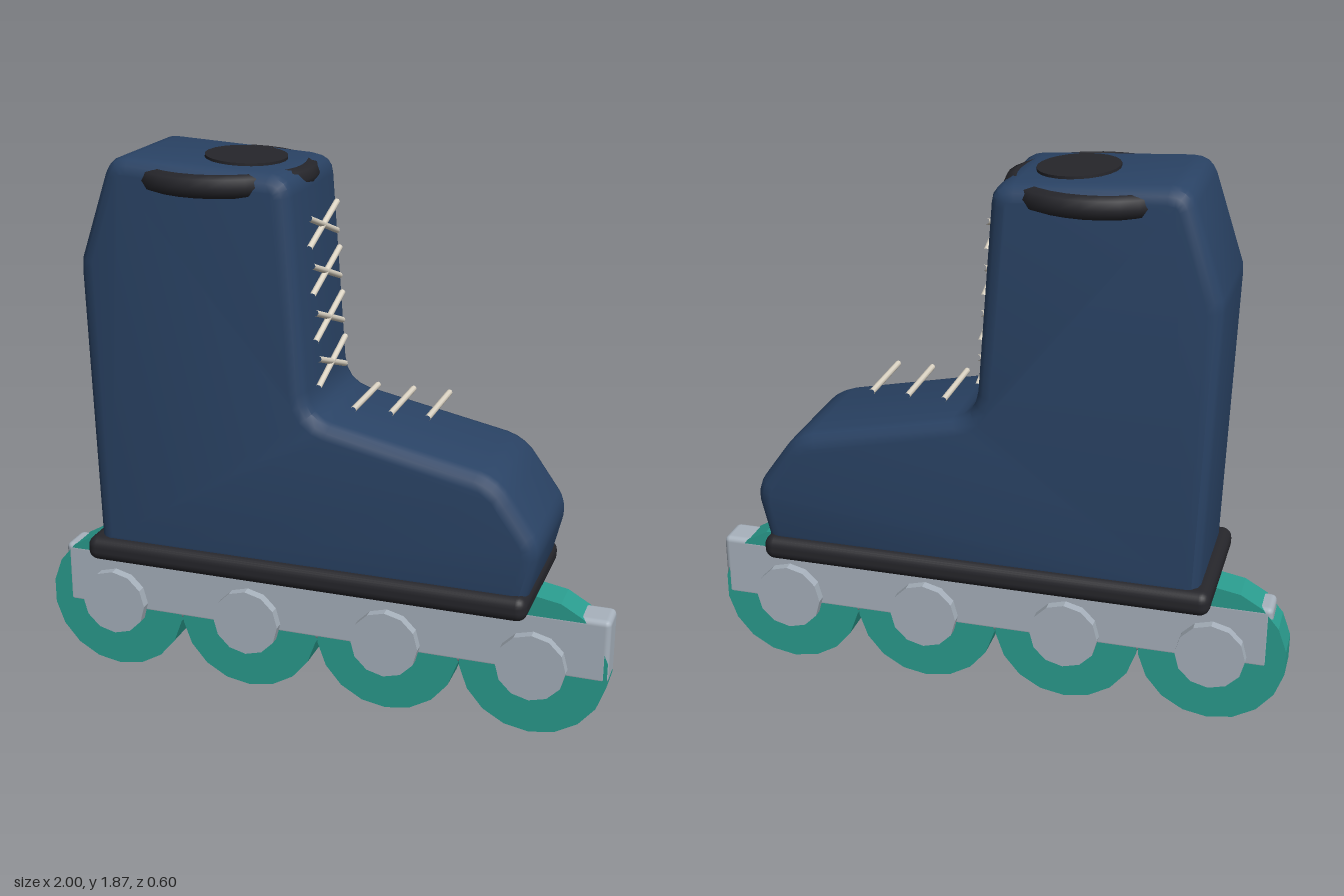
import * as THREE from 'three';
import { toCreasedNormals } from 'three/addons/utils/BufferGeometryUtils.js';
import { RoundedBoxGeometry } from 'three/addons/geometries/RoundedBoxGeometry.js';

const paint = (name, color) => {
  const m = new THREE.MeshStandardMaterial({ color });
  m.name = name;
  return m;
};

export function createModel() {
  const group = new THREE.Group();
  const navy = paint('navy shell', 0x2a4365);
  const black = paint('black rubber', 0x26262b);
  const teal = paint('teal wheel', 0x2a9d8f);
  const silver = paint('silver metal', 0xa8b2bd);
  const cream = paint('cream lace', 0xe0d8c8);

  const add = (name, geometry, material, x = 0, y = 0, z = 0) => {
    const mesh = new THREE.Mesh(geometry, material);
    mesh.name = name;
    mesh.position.set(x, y, z);
    group.add(mesh);
    return mesh;
  };

  // Boot: side profile extruded across the width with rounded edges
  const profile = new THREE.Shape();
  profile.moveTo(-0.72, 0.53);
  profile.lineTo(0.745, 0.53);
  profile.lineTo(0.783, 0.69);
  profile.quadraticCurveTo(0.79, 0.74, 0.765, 0.775);
  profile.lineTo(0.69, 0.88);
  profile.quadraticCurveTo(0.65, 0.945, 0.58, 0.963);
  profile.lineTo(0.1, 1.063);
  profile.quadraticCurveTo(0.025, 1.08, 0.017, 1.16);
  profile.lineTo(-0.028, 1.78);
  profile.quadraticCurveTo(-0.03, 1.84, -0.1, 1.846);
  profile.lineTo(-0.57, 1.871);
  profile.quadraticCurveTo(-0.63, 1.873, -0.65, 1.82);
  profile.lineTo(-0.745, 1.54);
  profile.lineTo(-0.748, 1.5);
  const bevel = 0.05;
  const boot = new THREE.ExtrudeGeometry(profile, {
    depth: 0.47 - 2 * bevel, curveSegments: 4,
    bevelThickness: bevel, bevelSize: bevel, bevelOffset: -bevel, bevelSegments: 3,
  });
  boot.translate(0, 0, bevel - 0.235);
  add('boot', toCreasedNormals(boot, 0.6), navy);

  // Sole
  add('sole', new RoundedBoxGeometry(1.52, 0.085, 0.524, 3, 0.035), black, 0, 0.532, 0);

  // Cuff ring and the dark foot opening on the sloped top
  const cuff = add('cuff', new THREE.TorusGeometry(0.265, 0.037, 8, 32), black, -0.325, 1.806, 0);
  cuff.rotation.x = Math.PI / 2;
  const opening = add('opening', new THREE.CylinderGeometry(0.14, 0.14, 0.012, 24), black, -0.253, 1.857, 0);
  opening.scale.set(0.93, 1, 1.05);
  opening.rotation.z = -0.053;

  // Laces: crossed pairs up the shin, straight bars over the foot
  const lace = (name, x, y, rise) => {
    const span = 0.27;
    const length = Math.hypot(span, rise);
    const mesh = add(name, new THREE.CylinderGeometry(0.01, 0.01, length, 8, 1, true), cream, x, y, 0);
    mesh.rotation.x = Math.atan2(span, rise);
  };
  for (let i = 0; i < 4; i++) {
    const x = 0.034 - i * 0.01;
    const y = 1.205 + i * 0.15;
    lace('crossLaceUp', x, y, 0.095);
    lace('crossLaceDown', x, y, -0.095);
  }
  for (const x of [0.15, 0.273, 0.395]) lace('footLace', x, 1.095, 0);

  // Wheel frame
  add('frame', new RoundedBoxGeometry(1.945, 0.23, 0.122, 2, 0.02), silver, 0.0275, 0.33, 0);

  // Wheels with axle hubs
  const wheel = toCreasedNormals(new THREE.CylinderGeometry(0.25, 0.25, 0.12, 18), 0.1).rotateX(Math.PI / 2);
  const hub = toCreasedNormals(new THREE.CylinderGeometry(0.118, 0.118, 0.19, 12), 0.1).rotateX(Math.PI / 2);
  for (let i = 0; i < 4; i++) {
    const x = -0.75 + i * 0.5;
    add('wheel', wheel, teal, x, 0.25, 0);
    add('hub', hub, silver, x, 0.255, 0);
  }
  return group;
}
